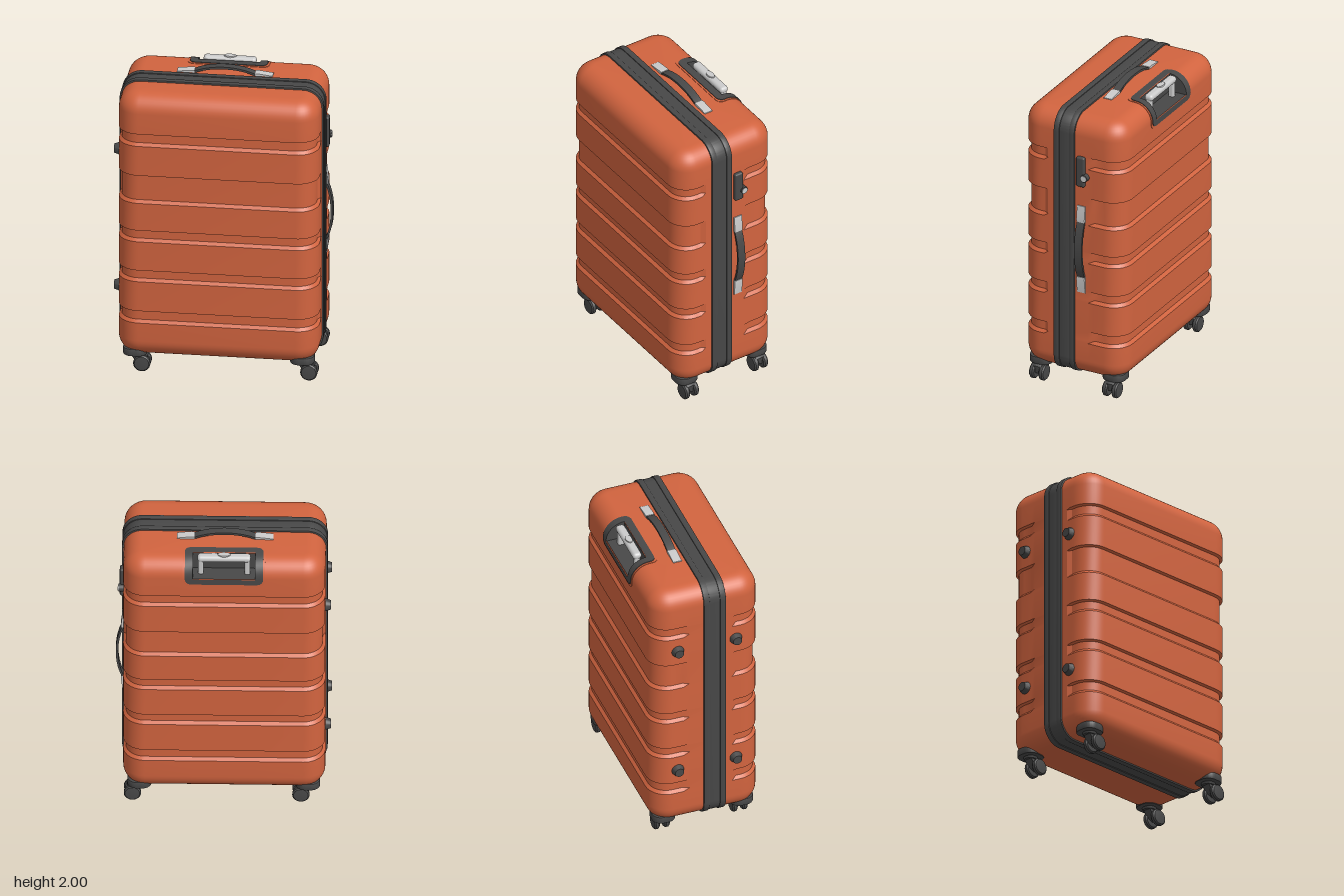
import * as THREE from 'three';
import { toCreasedNormals } from 'three/addons/utils/BufferGeometryUtils.js';
import { RoundedBoxGeometry } from 'three/addons/geometries/RoundedBoxGeometry.js';

const std = (color, side = THREE.FrontSide) => new THREE.MeshStandardMaterial({ color, side });
const shellMat = std(0xd2643f), rimMat = std(0xd2643f, THREE.DoubleSide);
const darkMat = std(0x484848), panelMat = std(0x484848, THREE.DoubleSide), greyMat = std(0xcccccc);

// Main sizes: centre, half extents, plan corner radius and edge radius
const CX = -0.01, HW = 0.645, HD = 0.37, Y0 = 0.12, Y1 = 1.95, RC = 0.14, RE = 0.12;
const POCKET = 0.2;

function add(parent, name, geo, mat, x = 0, y = 0, z = 0) {
  const m = new THREE.Mesh(geo, mat);
  m.name = name;
  m.position.set(x, y, z);
  parent.add(m);
  return m;
}

// Surface through rows of [x, y, z] points; skip(i, j) leaves a quad open
function skin(rows, skip = () => false) {
  const pos = [];
  for (let i = 0; i < rows.length - 1; i++)
    for (let j = 0; j < rows[i].length - 1; j++) {
      if (skip(i, j)) continue;
      const a = rows[i][j], b = rows[i][j + 1], c = rows[i + 1][j + 1], d = rows[i + 1][j];
      pos.push(...a, ...b, ...c, ...a, ...c, ...d);
    }
  const g = new THREE.BufferGeometry();
  g.setAttribute('position', new THREE.Float32BufferAttribute(pos, 3));
  g.computeVertexNormals();
  return toCreasedNormals(g, 0.5);
}

function extrude(shape, depth, bevel = 0) {
  const g = new THREE.ExtrudeGeometry(shape, {
    depth: depth - 2 * bevel, curveSegments: 12, bevelEnabled: bevel > 0,
    bevelSize: bevel, bevelThickness: bevel, bevelOffset: -bevel, bevelSegments: 2 });
  g.translate(0, 0, bevel - depth / 2);
  return toCreasedNormals(g, 0.6);
}

const polygon = pts => new THREE.Shape(pts.map(p => new THREE.Vector2(...p)));

function roundRect(w, h, r, Type = THREE.Shape) {
  const s = new Type(), x = w / 2 - r, y = h / 2 - r;
  s.absarc(x, y, r, 0, Math.PI / 2);
  s.absarc(-x, y, r, Math.PI / 2, Math.PI);
  s.absarc(-x, -y, r, Math.PI, Math.PI * 1.5);
  s.absarc(x, -y, r, Math.PI * 1.5, Math.PI * 2);
  s.closePath();
  return s;
}

// Grooved shell, lofted from rounded rectangles from top to bottom
function shellGeometry() {
  const cx = HW - RC, cz = HD - RC, ring = [];
  const corner = (sx, sz, start) => {
    for (let i = 0; i <= 10; i++) {
      const a = (start + i / 20) * Math.PI;
      ring.push([sx * cx, sz * cz, Math.cos(a), Math.sin(a)]);
    }
  };
  const stops = [0.2, 0.17, -0.12, -0.16];
  corner(1, 1, 0);
  corner(-1, 1, 0.5);
  stops.forEach(z => ring.push([-cx, z, -1, 0]));
  corner(-1, -1, 1);
  const notch = ring.length;
  ring.push([-POCKET, -cz, 0, -1], [POCKET, -cz, 0, -1]);
  corner(1, -1, 1.5);
  [...stops].reverse().forEach(z => ring.push([cx, z, 1, 0]));
  ring.push(ring[0]);

  const levels = [];                       // [y, edge inset, groove depth]
  for (let i = 0; i <= 10; i++) {
    const a = i / 20 * Math.PI;
    levels.push([Y1 - RE + RE * Math.cos(a), RE * (1 - Math.sin(a)), 0]);
  }
  for (const [hi, lo] of [[1.69, 1.605], [1.4, 1.205], [1.015, 0.935], [0.735, 0.655], [0.45, 0.365]])
    levels.push([hi, 0, 0], [hi - 0.008, 0, 0.018], [lo + 0.02, 0, 0.018], [lo, 0, 0]);
  for (let i = 0; i <= 10; i++) {
    const a = i / 20 * Math.PI;
    levels.push([Y0 + RE - RE * Math.sin(a), RE * (1 - Math.cos(a)), 0]);
  }
  // Grooves wrap the corners and fade out on the sides
  const fade = z => (z > 0.18 || z < -0.14 ? 1 : 0);
  const rows = levels.map(([y, t, g]) => ring.map(([x, z, nx, nz]) => {
    const r = RC - t - g * fade(z);
    return [CX + x + nx * r, y, z + nz * r];
  }));
  rows.unshift(ring.map(() => [CX, Y1, 0]));
  rows.push(ring.map(() => [CX, Y0, 0]));
  return skin(rows, (i, j) => j === notch && i >= 1 && i <= 10);
}

// Frame that follows the upper back edge and leaves the pocket open
const ARC = RE * Math.PI / 2, LEN = 0.05 + ARC + 0.04;
function edgePoint(s, off) {
  if (s < 0.05) return [Y1 + off, -0.2 - s];
  const a = Math.min((s - 0.05) / RE, Math.PI / 2);
  const drop = Math.max(0, s - 0.05 - ARC);
  return [Y1 - RE + (RE + off) * Math.cos(a) - drop, -HD + RE - (RE + off) * Math.sin(a)];
}
function frameGeometry(grow, off) {
  const rc = 0.04, ss = [0, 0.005, 0.015, 0.03].map(d => d - grow);
  const first = ss.length;
  for (let i = 0; i <= 10; i++) ss.push(0.05 + ARC * i / 10);
  [0.03, 0.015, 0.005, 0].forEach(d => ss.push(LEN + grow - d));
  const row = (s, lift) => {
    const d = Math.min(rc, s + grow, LEN + grow - s);
    const w = 0.25 + grow - rc + Math.sqrt(Math.max(0, rc * rc - (rc - d) ** 2));
    return [[-w, -0.004], [-w, lift], [-POCKET, lift], [POCKET, lift], [w, lift], [w, -0.004]]
      .map(([x, o]) => [CX + x, ...edgePoint(s, o)]);
  };
  const rows = ss.map(s => row(s, off));
  rows.unshift(row(ss[0], -0.004));
  rows.push(row(ss[ss.length - 1], -0.004));
  return skin(rows, (i, j) => j === 2 && i > first && i <= first + 10);
}

// Arched grip between two tapered clips, along x with y outwards
function carryHandle(name) {
  const g = new THREE.Group();
  g.name = name;
  const arch = new THREE.Shape();
  arch.moveTo(-0.215, 0.002);
  arch.bezierCurveTo(-0.1, 0.066, 0.1, 0.066, 0.215, 0.002);
  arch.lineTo(0.19, 0);
  arch.bezierCurveTo(0.09, 0.046, -0.09, 0.046, -0.19, 0);
  add(g, 'grip', extrude(arch, 0.054), darkMat);
  for (const s of [-1, 1]) {
    const pts = [[-0.308, -0.01], [-0.195, -0.01], [-0.195, 0.016], [-0.215, 0.017], [-0.308, 0.006]];
    const clip = add(g, 'clip', extrude(polygon(pts), 0.058), greyMat);
    if (s > 0) clip.rotation.y = Math.PI;
  }
  return g;
}

// Corner cup with a trailing fork and twin wheels
function caster(plateX, wheelX, z) {
  const g = new THREE.Group();
  g.name = 'caster';
  const cup = add(g, 'cornerCup', extrude(roundRect(0.155, 0.155, 0.06), 0.05, 0.006), darkMat, plateX, 0.14, z);
  cup.rotation.x = Math.PI / 2;
  add(g, 'swivel', new THREE.CylinderGeometry(0.05, 0.042, 0.03, 24), darkMat, wheelX - 0.045, 0.115, z);
  const fork = [[-0.085, 0.125], [0.01, 0.125], [0.035, 0.1], [0.03, 0.05], [0, 0.035], [-0.035, 0.05]];
  add(g, 'fork', extrude(polygon(fork), 0.06, 0.006), darkMat, wheelX, 0, z);
  const tyre = [[0, -0.019], [0.03, -0.019], [0.047, -0.017], [0.055, -0.009], [0.055, 0.009],
    [0.047, 0.017], [0.03, 0.019], [0, 0.019]].map(p => new THREE.Vector2(...p));
  for (const s of [-1, 1]) {
    const wheel = add(g, 'wheel', toCreasedNormals(new THREE.LatheGeometry(tyre, 28), 0.6), darkMat, wheelX, 0.055, z + s * 0.034);
    wheel.rotation.x = Math.PI / 2;
  }
  return g;
}

export function createModel() {
  const model = new THREE.Group();
  model.name = 'suitcase';
  add(model, 'shell', shellGeometry(), shellMat);

  // Closure band with two raised rims
  const band = (name, out, depth, z) => {
    const w = 2 * (HW + out), h = Y1 - Y0 + 2 * out, s = roundRect(w, h, RE + out);
    s.holes.push(roundRect(w - 0.06, h - 0.06, RE + out - 0.03, THREE.Path));
    add(model, name, extrude(s, depth, 0.003), darkMat, CX, (Y0 + Y1) / 2, z);
  };
  band('closureBand', 0.005, 0.13, 0.05);
  band('frontRim', 0.011, 0.04, 0.105);
  band('backRim', 0.011, 0.04, -0.005);

  // Pull handle pocket: frame, floor with wall, and cheeks
  add(model, 'pocketRim', frameGeometry(0.013, 0.003), rimMat);
  add(model, 'pocketFrame', frameGeometry(0, 0.007), panelMat);
  const wallZ = -HD + RE, floorY = Y1 - RE;
  const lining = polygon([[wallZ, Y1], [wallZ, floorY], [-HD, floorY], [-HD, floorY - 0.02],
    [wallZ + 0.02, floorY - 0.02], [wallZ + 0.02, Y1]]);
  const cheek = new THREE.Shape();
  cheek.moveTo(wallZ, floorY);
  cheek.lineTo(-HD - 0.005, floorY);
  cheek.absarc(wallZ, floorY, RE + 0.005, Math.PI, Math.PI / 2, true);
  cheek.closePath();
  const across = (name, shape, width, x) => {
    add(model, name, extrude(shape, width), panelMat, x).rotation.y = -Math.PI / 2;
  };
  // Profiles are drawn as (z, y), so the turn maps their first axis to z
  across('pocketLining', lining, 2 * POCKET, CX);
  for (const s of [-1, 1]) across('pocketCheek', cheek, 0.01, CX + s * (POCKET + 0.004));

  // Pull handle
  const pull = new THREE.Group();
  pull.name = 'pullHandle';
  model.add(pull);
  add(pull, 'bar', new RoundedBoxGeometry(0.34, 0.045, 0.06, 4, 0.021), greyMat, CX, 1.947, -0.295);
  for (const s of [-1, 1])
    add(pull, 'post', new RoundedBoxGeometry(0.036, 0.13, 0.04, 3, 0.012), greyMat, CX + s * 0.148, 1.885, -0.295);
  add(pull, 'button', new THREE.CylinderGeometry(0.04, 0.042, 0.012, 28), greyMat, CX, 1.969, -0.295).scale.z = 0.52;

  // Carry handles
  const top = carryHandle('topHandle');
  top.position.set(-0.0125, Y1, -0.0775);
  const side = carryHandle('sideHandle');
  side.position.set(0.635, 1.03, -0.0725);
  side.rotation.z = -Math.PI / 2;
  model.add(top, side);

  // Lock on the left side
  add(model, 'lockPlate', new RoundedBoxGeometry(0.05, 0.21, 0.06, 3, 0.012), darkMat, 0.635, 1.585, -0.0725);
  add(model, 'lockKnob', new THREE.CylinderGeometry(0.025, 0.025, 0.04, 24), darkMat, 0.648, 1.55, -0.105).rotation.z = -Math.PI / 2;
  add(model, 'lockCap', new THREE.CylinderGeometry(0.02, 0.02, 0.006, 24), greyMat, 0.669, 1.55, -0.105).rotation.z = -Math.PI / 2;

  // Resting feet on the right side
  for (const y of [0.55, 1.505])
    for (const z of [-0.2, 0.195])
      add(model, 'foot', toCreasedNormals(new THREE.CylinderGeometry(0.03, 0.045, 0.045, 20), 0.6), darkMat, -0.6675, y, z).rotation.z = Math.PI / 2;

  for (const z of [-0.265, 0.265])
    model.add(caster(-0.545, -0.5, z), caster(0.53, 0.575, z));
  return model;
}
